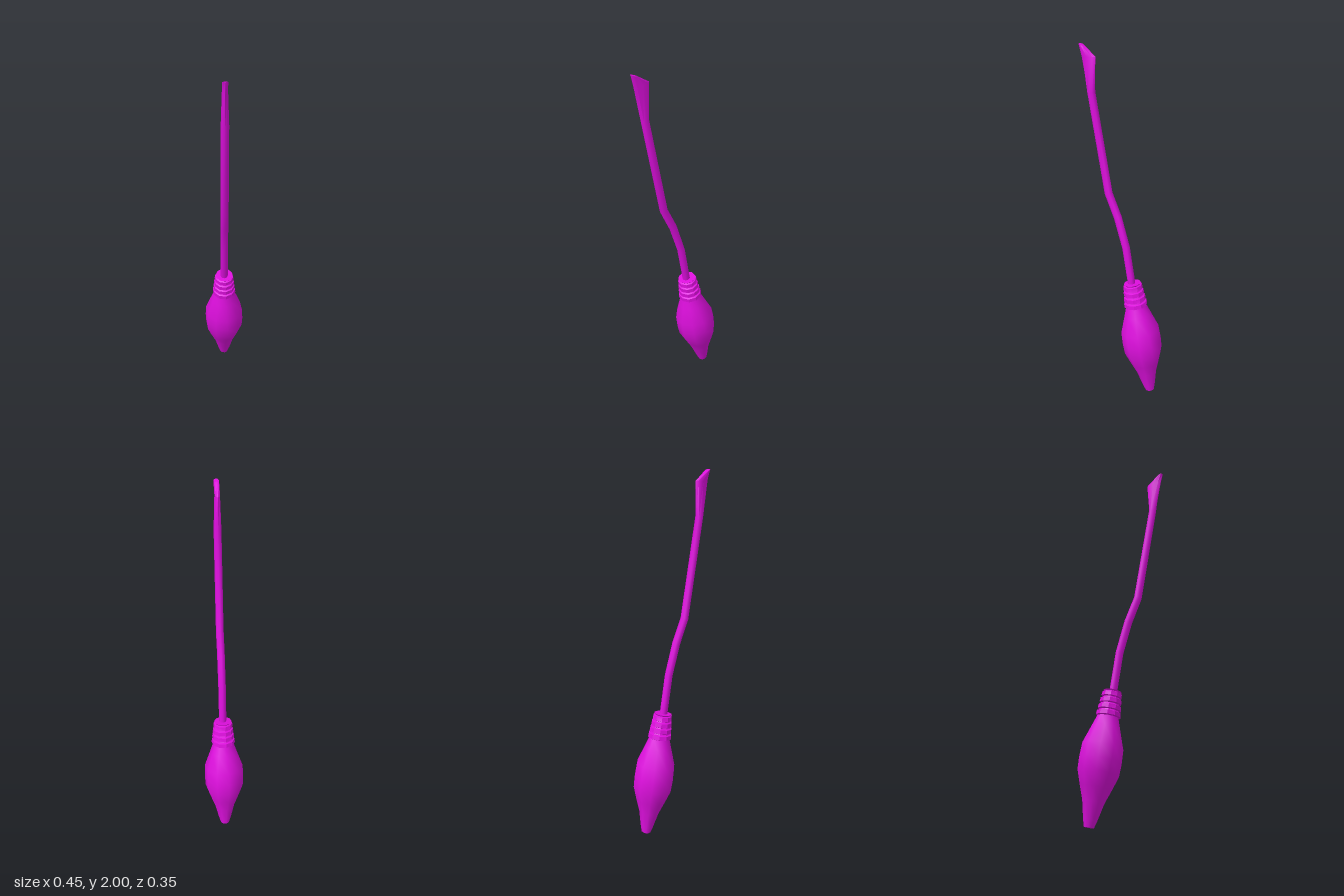
import * as THREE from 'three';
import { toCreasedNormals } from 'three/addons/utils/BufferGeometryUtils.js';

const material = new THREE.MeshStandardMaterial({ color: 0xdd0fdd });

function addMesh(parent, name, geometry, crease) {
  const mesh = new THREE.Mesh(toCreasedNormals(geometry, crease), material);
  mesh.name = name;
  parent.add(mesh);
}

function lathe(profile, sides) {
  return new THREE.LatheGeometry(profile.map(([r, y]) => new THREE.Vector2(r, y)), sides, -0.15);
}

// Skin over elliptical sections [x, y, radiusX, radiusZ, slope of section]
function loft(sections, sides) {
  const positions = [], index = [];
  sections.forEach(([x, y, rx, rz, slope], i) => {
    for (let j = 0; j < sides; j++) {
      const a = (j / sides) * Math.PI * 2;
      const dx = rx * Math.cos(a);
      positions.push(x + dx, y - slope * dx, rz * Math.sin(a));
      if (i === sections.length - 1) continue;
      const p = i * sides + j, q = i * sides + (j + 1) % sides;
      index.push(p, p + sides, q, q, p + sides, q + sides);
    }
  });
  const geometry = new THREE.BufferGeometry();
  geometry.setAttribute('position', new THREE.Float32BufferAttribute(positions, 3));
  geometry.setIndex(index);
  geometry.computeVertexNormals();
  return geometry;
}

export function createModel() {
  const model = new THREE.Group();
  model.name = 'broom';

  // The broom bends in one vertical plane, turned about y
  const plane = new THREE.Group();
  plane.name = 'broomBody';
  plane.rotation.y = -0.61;
  plane.position.z = 0.017;
  model.add(plane);

  // Leaning brush head
  const head = new THREE.Group();
  head.name = 'brushHead';
  head.position.set(-0.195, 0.006, 0);
  head.rotation.z = -0.189;
  plane.add(head);

  // Bulging bristle bundle
  addMesh(head, 'bristles', lathe([
    [0, 0], [0.026, 0.002], [0.037, 0.04], [0.058, 0.13], [0.084, 0.2],
    [0.11, 0.275], [0.113, 0.34], [0.11, 0.415], [0.076, 0.515], [0.056, 0.575], [0, 0.575],
  ], 10), 0.9);

  // Stacked binding bands, narrowing upwards
  const bands = 4, bandHeight = 0.035, base = 0.57;
  const profile = [[0, base]];
  for (let i = 0; i < bands; i++) {
    const r = 0.067 - i * 0.004, y = base + i * bandHeight;
    profile.push([r - 0.009, y], [r, y + 0.004], [r - 0.002, y + 0.026], [r - 0.011, y + 0.03]);
  }
  profile.push([0.049, base + bands * bandHeight + 0.002], [0, base + bands * bandHeight + 0.002]);
  addMesh(head, 'binding', lathe(profile, 10), 0.5);

  // Crooked handle with a flared, flattened tip
  addMesh(plane, 'handle', loft([
    [-0.061, 0.68, 0, 0, 0.2],
    [-0.061, 0.68, 0.021, 0.021, 0.2],
    [-0.018, 0.92, 0.021, 0.021, 0.25],
    [0.037, 1.09, 0.021, 0.021, 0.4],
    [0.098, 1.22, 0.021, 0.021, 0.3],
    [0.201, 1.76, 0.021, 0.02, 0.19],
    [0.214, 1.94, 0.044, 0.014, 0.1],
    [0.257, 1.994, 0.015, 0.014, -0.3],
    [0.257, 1.994, 0, 0, 0],
  ], 8), 0.9);

  return model;
}
